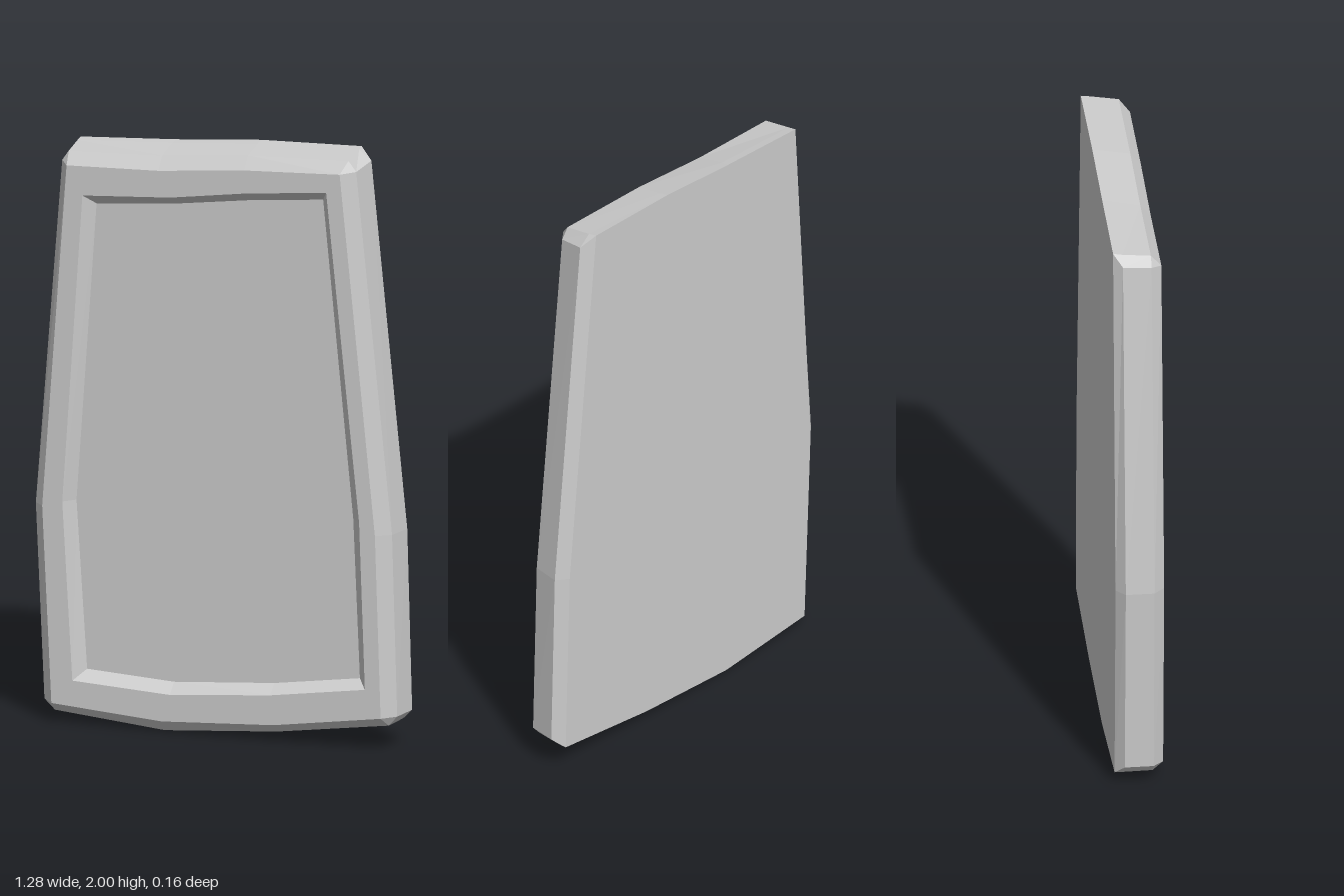
import * as THREE from 'three';

// Outlines run clockwise seen from the front: top edge, right middle, bottom edge, left middle.
// Ten points become fourteen by doubling each corner, so every ring matches.
const sharp = (z, p) =>
  [0, 1, 2, 3, 3, 4, 5, 5, 6, 7, 8, 8, 9, 0].map(i => new THREE.Vector3(p[i][0], p[i][1], z));

// Rings with cut corners list all fourteen points.
const cut = (z, p) => p.map(([x, y]) => new THREE.Vector3(x, y, z));

function mesh(name, tris) {
  const solid = tris.filter(([a, b, c]) =>
    !a.equals(b) && !b.equals(c) && !c.equals(a));
  const geo = new THREE.BufferGeometry().setFromPoints(solid.flat());
  geo.computeVertexNormals();
  const m = new THREE.Mesh(geo, new THREE.MeshStandardMaterial({ color: 0xcccccc, flatShading: true }));
  m.name = name;
  return m;
}

// Quads between neighbouring rings
function loft(rings) {
  const tris = [];
  for (let k = 0; k + 1 < rings.length; k++) {
    const a = rings[k], b = rings[k + 1];
    a.forEach((p, i) => {
      const j = (i + 1) % a.length;
      tris.push([p, b[i], b[j]], [p, b[j], a[j]]);
    });
  }
  return tris;
}

// Flat fan closing a ring
function cap(ring, front) {
  const c = new THREE.Vector3();
  ring.forEach(p => c.addScaledVector(p, 1 / ring.length));
  return ring.map((p, i) => {
    const q = ring[(i + 1) % ring.length];
    return front ? [c, q, p] : [c, p, q];
  });
}

export function createModel() {
  const back = sharp(-0.08, [
    [-0.53, 1.945], [-0.2, 1.965], [0.1, 1.99], [0.45, 2.0], [0.58, 0.73],
    [0.6, 0.085], [0.2, 0.035], [-0.19, 0.008], [-0.575, 0.035], [-0.605, 0.73]]);
  const rearEdge = cut(-0.05, [
    [-0.53, 1.94], [-0.2, 1.96], [0.1, 1.985], [0.452, 1.995],
    [0.495, 1.962], [0.62, 0.73], [0.637, 0.12],
    [0.6, 0.085], [0.2, 0.034], [-0.19, 0.006], [-0.575, 0.035],
    [-0.61, 0.07], [-0.64, 0.73], [-0.555, 1.905]]);
  const frontEdge = cut(0.045, [
    [-0.525, 1.928], [-0.2, 1.94], [0.1, 1.968], [0.45, 1.98],
    [0.477, 1.945], [0.602, 0.73], [0.62, 0.118],
    [0.59, 0.085], [0.2, 0.03], [-0.19, 0], [-0.573, 0.035],
    [-0.61, 0.07], [-0.64, 0.73], [-0.548, 1.895]]);
  const face = sharp(0.08, [
    [-0.52, 1.887], [-0.2, 1.897], [0.1, 1.925], [0.432, 1.94], [0.555, 0.73],
    [0.575, 0.115], [0.2, 0.06], [-0.19, 0.038], [-0.573, 0.066], [-0.605, 0.73]]);
  const lip = sharp(0.08, [
    [-0.465, 1.79], [-0.16, 1.81], [0.1, 1.847], [0.385, 1.875], [0.5, 0.77],
    [0.52, 0.208], [0.19, 0.16], [-0.16, 0.13], [-0.5, 0.148], [-0.535, 0.75]]);
  const floor = sharp(0.04, [
    [-0.43, 1.757], [-0.16, 1.78], [0.1, 1.815], [0.36, 1.84], [0.465, 0.77],
    [0.488, 0.235], [0.19, 0.192], [-0.16, 0.165], [-0.463, 0.182], [-0.5, 0.75]]);

  const group = new THREE.Group();
  group.name = 'framedPanel';
  group.add(
    mesh('backPlate', cap(back, false)),
    mesh('outerFrame', loft([back, rearEdge, frontEdge, face, lip])),
    mesh('recessBevel', loft([lip, floor])),
    mesh('recessedPanel', cap(floor, true)));
  return group;
}
